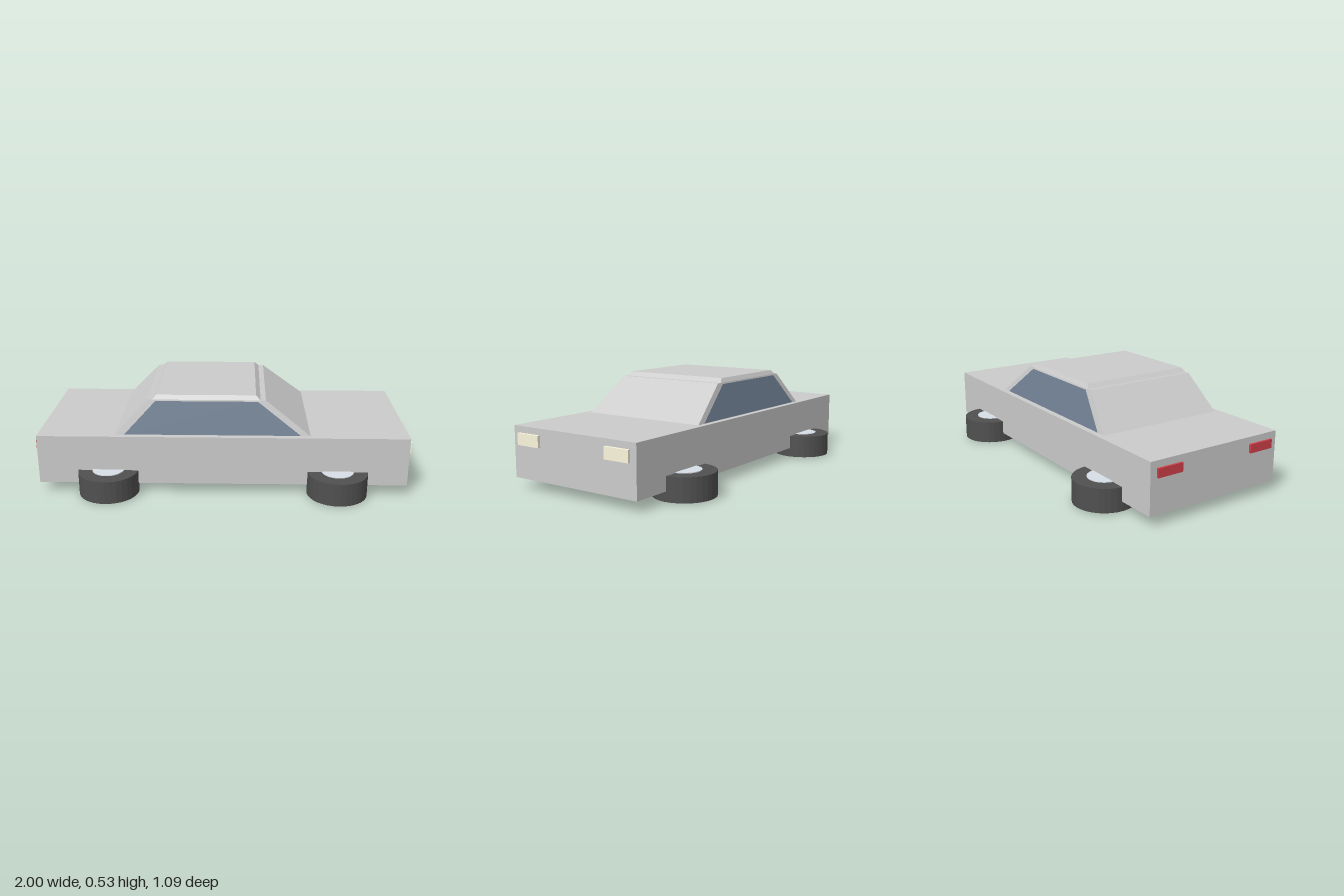
import * as THREE from 'three';

const mat = (color) => new THREE.MeshStandardMaterial({ color, flatShading: true });

// Box given by its extents along each axis
function block(name, [x0, x1], [y0, y1], [z0, z1], material) {
  const mesh = new THREE.Mesh(new THREE.BoxGeometry(x1 - x0, y1 - y0, z1 - z0), material);
  mesh.position.set((x0 + x1) / 2, (y0 + y1) / 2, (z0 + z1) / 2);
  mesh.name = name;
  return mesh;
}

// Box whose bottom and top rectangles differ: { y, x: [min, max], z: half width }
function tapered(name, bottom, top, material) {
  const geo = new THREE.BoxGeometry(1, 1, 1);
  const p = geo.attributes.position;
  for (let i = 0; i < p.count; i++) {
    const r = p.getY(i) > 0 ? top : bottom;
    p.setXYZ(i, r.x[p.getX(i) > 0 ? 1 : 0], r.y, Math.sign(p.getZ(i)) * r.z);
  }
  geo.computeVertexNormals();
  const mesh = new THREE.Mesh(geo, material);
  mesh.name = name;
  return mesh;
}

export function createModel() {
  const car = new THREE.Group();
  car.name = 'car';
  const grey = mat(0xcccccc);
  const glass = mat(0x6f7f92);
  glass.side = THREE.DoubleSide;
  const rubber = mat(0x505050);
  const metal = mat(0xd8dfe6);
  const lamp = mat(0xfaf6dc);
  const red = mat(0xd04048);

  // Body, cabin and raised roof panel
  const base = { y: 0.322, x: [-0.577, 0.463], z: 0.363 };
  const head = { y: 0.506, x: [-0.402, 0.225], z: 0.321 };
  car.add(block('body', [-0.988, 0.985], [0.055, 0.322], [-0.394, 0.394], grey));
  car.add(tapered('cabin', base, head, grey));
  car.add(tapered('roof', { y: 0.506, x: [-0.376, 0.197], z: 0.321 },
    { y: 0.529, x: [-0.353, 0.173], z: 0.308 }, grey));

  for (const side of [1, -1]) {
    const sideName = side > 0 ? 'Front' : 'Back';

    // Side window lying just proud of the sloping cabin wall
    const outline = [[-0.525, 0.324], [0.412, 0.324], [0.183, 0.499], [-0.358, 0.499]];
    const geo = new THREE.ShapeGeometry(new THREE.Shape(outline.map(([x, y]) => new THREE.Vector2(x, y))));
    const p = geo.attributes.position;
    for (let i = 0; i < p.count; i++) {
      const t = (p.getY(i) - base.y) / (head.y - base.y);
      p.setZ(i, side * (THREE.MathUtils.lerp(base.z, head.z, t) + 0.002));
    }
    if (side < 0) geo.index.array.reverse();
    geo.computeVertexNormals();
    const pane = new THREE.Mesh(geo, glass);
    pane.name = 'window' + sideName;
    car.add(pane);

    // Lamps at both ends
    const z = side > 0 ? [0.214, 0.358] : [-0.358, -0.214];
    car.add(block('headlight' + sideName, [0.975, 1], [0.227, 0.288], z, lamp));
    car.add(block('tailLight' + sideName, [-1, -0.978], [0.24, 0.286], z, red));

    // Wheels lying flat, each a tyre with a slightly thicker hub
    for (const x of [-0.614, 0.612]) {
      const wheel = new THREE.Group();
      wheel.name = 'wheel' + sideName + (x > 0 ? 'Left' : 'Right');
      const tyre = new THREE.Mesh(new THREE.CylinderGeometry(0.161, 0.161, 0.125, 32), rubber);
      tyre.name = 'tyre';
      const hub = new THREE.Mesh(new THREE.CylinderGeometry(0.086, 0.086, 0.133, 32), metal);
      hub.name = 'hub';
      wheel.add(tyre, hub);
      wheel.position.set(x, 0.0665, side * 0.386);
      car.add(wheel);
    }
  }
  return car;
}
